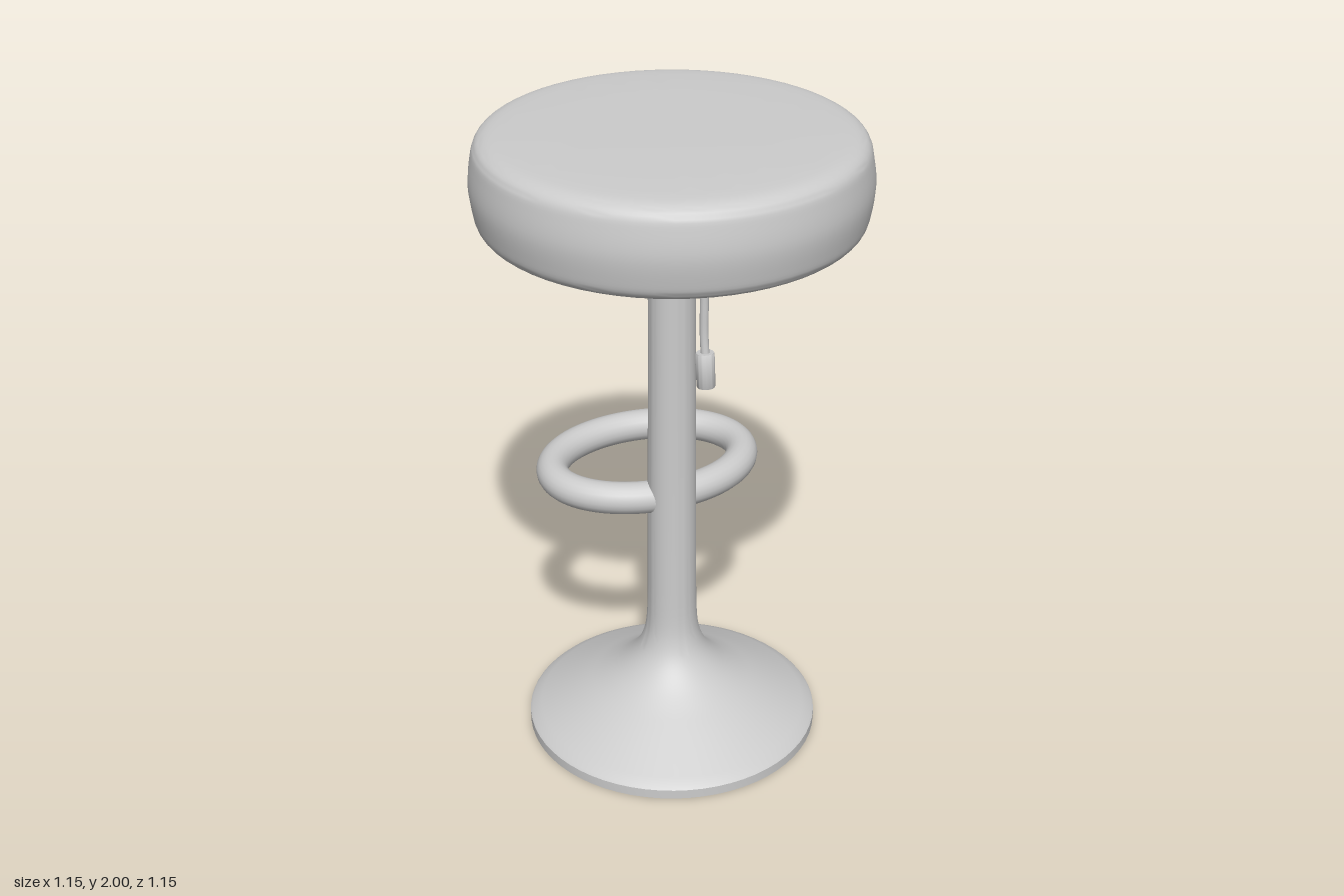
import * as THREE from 'three';
import { toCreasedNormals } from 'three/addons/utils/BufferGeometryUtils.js';

const material = new THREE.MeshStandardMaterial({ color: 0xcccccc });
const v3 = (p) => new THREE.Vector3(...p);

function addMesh(group, name, geometry) {
  const mesh = new THREE.Mesh(geometry, material);
  mesh.name = name;
  group.add(mesh);
  return mesh;
}

// Turned part from [radius, height] pairs listed bottom to top
function lathe(profile, crease = 0.6) {
  const points = profile.map(([r, y]) => new THREE.Vector2(r, y));
  return toCreasedNormals(new THREE.LatheGeometry(points, 64), crease);
}

// Smooth run of [radius, height] pairs through a few control points
function smooth(points, count) {
  const curve = new THREE.SplineCurve(points.map(([x, y]) => new THREE.Vector2(x, y)));
  return curve.getPoints(count).map((p) => [p.x, p.y]);
}

export function createModel() {
  const stool = new THREE.Group();
  stool.name = 'barStool';

  // Flared foot with a thin rim, flowing into the column
  addMesh(stool, 'baseAndColumn', lathe([
    [0, 0], [0.457, 0], [0.457, 0.03],
    ...smooth([[0.45, 0.037], [0.3, 0.118], [0.22, 0.162], [0.16, 0.205],
      [0.115, 0.255], [0.09, 0.31], [0.079, 0.38], [0.076, 0.5]], 28),
    [0.074, 0.9], [0.071, 1.3], [0.07, 1.68],
  ]));

  // Bowl-shaped hub under the seat
  addMesh(stool, 'hub', lathe([
    [0, 1.61], [0.07, 1.612],
    ...smooth([[0.085, 1.617], [0.12, 1.64], [0.146, 1.672], [0.16, 1.72]], 12),
  ]));

  // Padded round seat
  addMesh(stool, 'seat', lathe([
    [0, 1.712], [0.3, 1.712],
    ...smooth([[0.46, 1.713], [0.52, 1.72], [0.555, 1.742], [0.568, 1.785], [0.576, 1.855],
      [0.568, 1.925], [0.555, 1.968], [0.52, 1.99], [0.46, 1.997]], 36),
    [0.3, 2], [0, 2],
  ], 1));

  // Oval footrest passing through the column and reaching behind it
  const oval = [];
  for (let i = 0; i < 32; i++) {
    const a = (i / 32) * Math.PI * 2;
    oval.push(v3([0.018 + 0.31 * Math.cos(a), 0.81, -0.235 + 0.225 * Math.sin(a)]));
  }
  addMesh(stool, 'footrest',
    new THREE.TubeGeometry(new THREE.CatmullRomCurve3(oval, true), 96, 0.05, 20, true));

  // Height lever hanging from the hub
  const lever = new THREE.Group();
  lever.name = 'lever';
  stool.add(lever);
  const rod = [[0.025, 1.68, 0.08], [0.042, 1.672, 0.112], [0.048, 1.64, 0.123],
    [0.048, 1.5, 0.123], [0.048, 1.4, 0.124], [0.049, 1.32, 0.133]].map(v3);
  addMesh(lever, 'leverRod',
    new THREE.TubeGeometry(new THREE.CatmullRomCurve3(rod), 40, 0.013, 12));
  const grip = addMesh(lever, 'leverGrip', lathe([
    [0, -0.054], [0.026, -0.054], [0.028, -0.05], [0.028, 0.05], [0.026, 0.054], [0, 0.054],
  ]));
  grip.position.set(0.049, 1.295, 0.133);
  grip.rotation.x = -0.09;

  return stool;
}
